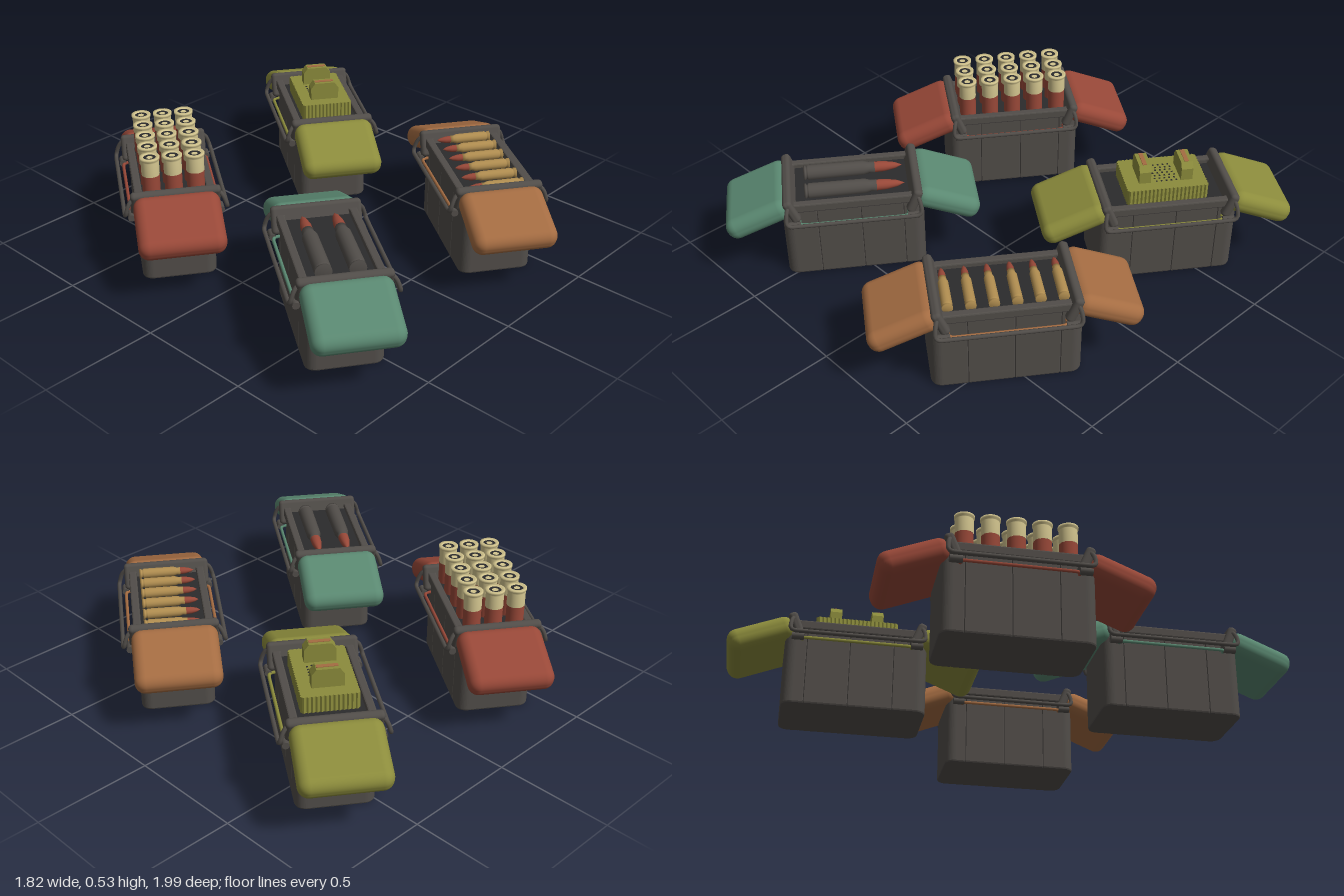
import * as THREE from 'three';
import { RoundedBoxGeometry } from 'three/addons/geometries/RoundedBoxGeometry.js';

const mat = (name, color) => {
  const m = new THREE.MeshStandardMaterial({ color });
  m.name = name;
  return m;
};

export function createModel() {
  const M = {
    grey: mat('grey metal', 0x514d49),
    dark: mat('dark lining', 0x2b2b2c),
    red: mat('red', 0x984838),
    olive: mat('olive', 0x8c8c3c),
    green: mat('green', 0x5a8871),
    brown: mat('brown', 0xa46c42),
    tan: mat('pale brass', 0xd2c48e),
    brass: mat('brass', 0xb08d50),
  };
  const add = (parent, name, geo, material, x = 0, y = 0, z = 0) => {
    const m = new THREE.Mesh(geo, material);
    m.name = name;
    m.position.set(x, y, z);
    parent.add(m);
    return m;
  };

  // Plan outline with rounded corners; optional grooves cut in the long sides
  const outline = (a, b, r, grooves = [], Type = THREE.Shape) => {
    const s = new Type();
    const w = 0.003, d = 0.004;
    s.moveTo(-a + r, -b);
    grooves.forEach(g => {
      s.lineTo(g - w, -b); s.lineTo(g, -b + d); s.lineTo(g + w, -b);
    });
    s.lineTo(a - r, -b);
    s.absarc(a - r, -b + r, r, -Math.PI / 2, 0);
    s.absarc(a - r, b - r, r, 0, Math.PI / 2);
    [...grooves].reverse().forEach(g => {
      s.lineTo(g + w, b); s.lineTo(g, b - d); s.lineTo(g - w, b);
    });
    s.absarc(-a + r, b - r, r, Math.PI / 2, Math.PI);
    s.absarc(-a + r, -b + r, r, Math.PI, Math.PI * 1.5);
    return s;
  };
  const raise = (shape, depth, bevel = 0) => new THREE.ExtrudeGeometry(shape, {
    depth: depth - 2 * bevel, curveSegments: 6, bevelEnabled: bevel > 0,
    bevelSize: bevel, bevelThickness: bevel, bevelOffset: -bevel, bevelSegments: 2,
  }).translate(0, 0, bevel).rotateX(-Math.PI / 2);

  const tube = (pts, r) => {
    const path = new THREE.CurvePath();
    const v = pts.map(p => new THREE.Vector3(...p));
    let from = v[0];
    // straight runs joined by short curved bends
    for (let i = 1; i < v.length - 1; i++) {
      const a = v[i].clone().lerp(v[i - 1], Math.min(0.45, 0.03 / v[i].distanceTo(v[i - 1])));
      const b = v[i].clone().lerp(v[i + 1], Math.min(0.45, 0.03 / v[i].distanceTo(v[i + 1])));
      path.add(new THREE.LineCurve3(from, a));
      path.add(new THREE.QuadraticBezierCurve3(a, v[i], b));
      from = b;
    }
    path.add(new THREE.LineCurve3(from, v[v.length - 1]));
    return new THREE.TubeGeometry(path, 70, r, 8);
  };
  const lathe = (pts, n = 20) =>
    new THREE.LatheGeometry(pts.map(p => new THREE.Vector2(...p)), n);

  // Shared case geometry
  const bodyGeo = raise(outline(0.3, 0.156, 0.045, [-0.155, 0.03, 0.21]), 0.35, 0.008);
  const rimShape = outline(0.298, 0.166, 0.045);
  rimShape.holes.push(outline(0.255, 0.132, 0.02, [], THREE.Path));
  const rimGeo = raise(rimShape, 0.04, 0.006);
  const lidGeo = new RoundedBoxGeometry(0.29, 0.1, 0.356, 5, 0.045);
  const bandGeo = new RoundedBoxGeometry(0.04, 0.115, 0.372, 3, 0.016);
  const wireGeo = tube([[-0.265, 0.385, 0.165], [-0.28, 0.36, 0.195], [-0.285, 0.3, 0.212],
    [0.285, 0.3, 0.212], [0.28, 0.36, 0.195], [0.265, 0.385, 0.165]], 0.009);
  const rodGeo = tube([[-0.23, 0.29, 0.15], [-0.23, 0.285, 0.185],
    [0.23, 0.285, 0.185], [0.23, 0.29, 0.15]], 0.007);
  const knobGeo = new THREE.CylinderGeometry(0.015, 0.015, 0.05, 12).rotateZ(Math.PI / 2);

  const makeCase = (name, colour, x, z) => {
    const g = new THREE.Group();
    g.name = name;
    add(g, 'caseBody', bodyGeo, M.grey);
    add(g, 'caseRim', rimGeo, M.grey, 0, 0.335, 0);
    add(g, 'caseLining', new THREE.BoxGeometry(0.53, 0.006, 0.28), M.dark, 0, 0.351, 0);
    for (const s of [-1, 1]) {
      add(g, 'lid', lidGeo, colour, s * 0.4, 0.305, 0).rotation.z = -s * 0.385;
      add(g, 'hingeBand', bandGeo, M.grey, s * 0.258, 0.348, 0).rotation.z = -s * 0.385;
      const side = new THREE.Group();
      side.name = 'handleSide';
      side.rotation.y = s > 0 ? 0 : Math.PI;
      add(side, 'wireHandle', wireGeo, M.grey);
      add(side, 'sideRod', rodGeo, colour);
      for (const e of [-1, 1]) add(side, 'handleKnob', knobGeo, M.grey, e * 0.25, 0.288, 0.185);
      g.add(side);
    }
    g.position.set(x, 0, z);
    g.rotation.y = THREE.MathUtils.degToRad(55);
    return g;
  };

  const redCase = makeCase('redCase', M.red, -0.47, -0.47);
  const oliveCase = makeCase('oliveCase', M.olive, 0.47, -0.47);
  const greenCase = makeCase('greenCase', M.green, -0.47, 0.47);
  const brownCase = makeCase('brownCase', M.brown, 0.47, 0.47);

  // Red case: upright shells, brass end up
  const hullGeo = new THREE.CylinderGeometry(0.037, 0.037, 0.1, 20);
  const headGeo = lathe([[0.0375, 0], [0.0375, 0.062], [0.034, 0.066], [0.041, 0.07],
    [0.041, 0.08], [0.028, 0.08], [0.026, 0.074], [0, 0.074]]);
  const ringGeo = new THREE.RingGeometry(0.013, 0.026, 20).rotateX(-Math.PI / 2);
  for (let i = -2; i <= 2; i++) for (let j = -1; j <= 1; j++) {
    const shell = new THREE.Group();
    shell.name = 'shell';
    add(shell, 'shellHull', hullGeo, M.red, 0, 0.4, 0);
    add(shell, 'shellHead', headGeo, M.tan, 0, 0.45, 0);
    add(shell, 'shellGroove', ringGeo, M.dark, 0, 0.5255, 0);
    shell.position.set(i * 0.103, 0, j * 0.092);
    redCase.add(shell);
  }

  // Olive case: toothed plate carrying two tapered blocks
  const plate = new THREE.Shape();
  const teeth = [];
  const edge = (x0, y0, x1, y1, n, nx, ny) => {
    for (let k = 0; k < n; k++) for (const f of [0.15, 0.5]) {
      const t = (k + f) / n, o = f === 0.5 ? 0.005 : 0;
      teeth.push(new THREE.Vector2(x0 + (x1 - x0) * t + nx * o, y0 + (y1 - y0) * t + ny * o));
    }
  };
  edge(-0.17, -0.11, 0.17, -0.11, 20, 0, -1);
  edge(0.17, -0.11, 0.17, 0.11, 13, 1, 0);
  edge(0.17, 0.11, -0.17, 0.11, 20, 0, 1);
  edge(-0.17, 0.11, -0.17, -0.11, 13, -1, 0);
  plate.setFromPoints(teeth);
  add(oliveCase, 'toothedPlate', raise(plate, 0.07), M.olive, 0, 0.354, 0);
  const block = new THREE.Shape([[-0.064, 0], [0.064, 0], [0.064, 0.055], [0.045, 0.08],
    [-0.045, 0.08], [-0.064, 0.055]].map(p => new THREE.Vector2(...p)));
  const blockGeo = new THREE.ExtrudeGeometry(block, { depth: 0.05, bevelEnabled: false })
    .translate(0, 0, -0.025).rotateY(Math.PI / 2);
  for (const s of [-1, 1]) {
    add(oliveCase, 'block', blockGeo, M.olive, s * 0.09, 0.423, 0);
    add(oliveCase, 'blockStrip', new THREE.BoxGeometry(0.018, 0.003, 0.085), M.brown, s * 0.09, 0.504, 0);
  }
  const studGeo = new THREE.BoxGeometry(0.007, 0.004, 0.007);
  for (let i = -2; i <= 2; i++) for (let j = -3; j <= 3; j++)
    add(oliveCase, 'stud', studGeo, M.dark, i * 0.021 + (j % 2) * 0.005, 0.424, j * 0.019);

  // Lying rounds: case and pointed tip along +x
  const round = (parent, r, len, neck, caseMat, place) => {
    const g = new THREE.Group();
    g.name = 'round';
    const h = len * neck;
    const lay = geo => geo.rotateZ(-Math.PI / 2);
    add(g, 'roundCase', lay(lathe([[0, 0], [r, 0], [r, 0.008], [r * 0.82, 0.011], [r * 0.82, 0.016],
      [r, 0.02], [r * 0.95, h * 0.84], [r * 0.72, h * 0.92], [r * 0.72, h], [0, h]], 16)), caseMat);
    add(g, 'roundTip', lay(lathe([[r * 0.7, h], [r * 0.66, h + (len - h) * 0.35],
      [r * 0.4, h + (len - h) * 0.75], [0, len]], 16)), M.red);
    place(g);
    parent.add(g);
  };
  // Green case: two large rounds lengthwise
  for (const s of [-1, 1])
    round(greenCase, 0.034, 0.425, 0.72, M.grey, g => g.position.set(-0.2, 0.372, s * 0.066));
  // Brown case: six small rounds crosswise
  for (let i = 0; i < 6; i++)
    round(brownCase, 0.022, 0.24, 0.75, M.brass, g => {
      g.position.set(-0.225 + i * 0.09, 0.374, 0.12);
      g.rotation.y = Math.PI / 2;
    });

  const model = new THREE.Group();
  model.name = 'ammunitionCases';
  model.add(redCase, oliveCase, greenCase, brownCase);
  return model;
}
